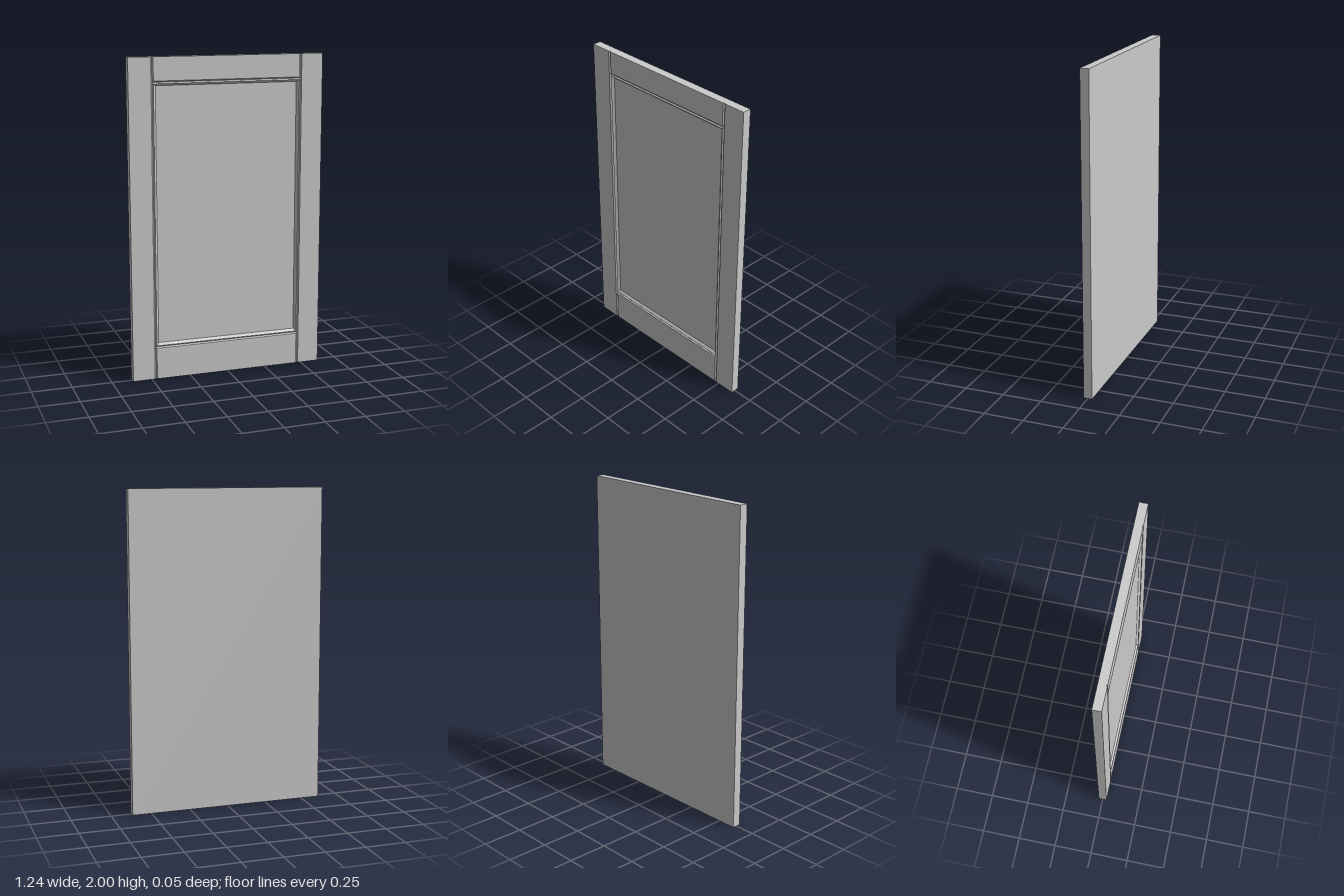
import * as THREE from 'three';

const W = 0.62, H = 2;                          // half width, height
const BACK = -0.027, PANEL = 0.013, FLOOR = 0.02, FRONT = 0.027;
const STILE = 0.481, INNER = 0.466, B = 0.0075; // stile edge, rail end, bevel width
const LOW = 0.2, HIGH = 1.857, GAP = 0.016;     // rail edges, groove width

const material = new THREE.MeshStandardMaterial({ color: 0xcccccc, flatShading: true });

function add(group, geometry, name) {
  const mesh = new THREE.Mesh(geometry, material);
  mesh.name = name;
  group.add(mesh);
}

function rect(Type, x0, x1, y0, y1) {
  return new Type([[x0, y0], [x1, y0], [x1, y1], [x0, y1]].map(p => new THREE.Vector2(...p)));
}

// Raised block whose base spreads outward by a bevel on the chosen sides
function bevelBlock(x0, x1, y0, y1, left, right, bottom, top) {
  const g = new THREE.BoxGeometry(1, 1, 1), p = g.attributes.position;
  for (let i = 0; i < p.count; i++) {
    const s = p.getZ(i) < 0 ? B : 0;
    p.setXYZ(i,
      p.getX(i) < 0 ? x0 - s * left : x1 + s * right,
      p.getY(i) < 0 ? y0 - s * bottom : y1 + s * top,
      s ? FLOOR : FRONT);
  }
  g.computeVertexNormals();
  return g;
}

// Mitred rectangular ring swept through [half width, bottom, top, z] loops
function rectRing(loops) {
  const pos = [], index = [];
  for (const [x, y0, y1, z] of loops) pos.push(-x, y0, z, x, y0, z, x, y1, z, -x, y1, z);
  for (let l = 0; l < loops.length - 1; l++) {
    for (let k = 0; k < 4; k++) {
      const a = l * 4 + k, b = l * 4 + (k + 1) % 4;
      index.push(a, b, b + 4, a, b + 4, a + 4);
    }
  }
  const g = new THREE.BufferGeometry();
  g.setAttribute('position', new THREE.Float32BufferAttribute(pos, 3));
  g.setIndex(index);
  const flat = g.toNonIndexed();
  flat.computeVertexNormals();
  return flat;
}

export function createModel() {
  const door = new THREE.Group();
  door.name = 'panelDoor';

  // Back slab; its front face is the recessed centre panel
  const slab = new THREE.BoxGeometry(2 * W, H, PANEL - BACK);
  slab.translate(0, H / 2, (PANEL + BACK) / 2);
  add(door, slab, 'centrePanel');

  // Frame layer up to the groove floor
  const frame = rect(THREE.Shape, -W, W, 0, H);
  frame.holes.push(rect(THREE.Path, -INNER, INNER, LOW + GAP, HIGH - GAP));
  const core = new THREE.ExtrudeGeometry(frame, { depth: FLOOR - PANEL, bevelEnabled: false });
  core.translate(0, 0, PANEL);
  add(door, core, 'frameCore');

  // Stiles and rails, bevelled along the grooves
  add(door, bevelBlock(-W, -STILE, 0, H, 0, 1, 0, 0), 'rightStile');
  add(door, bevelBlock(STILE, W, 0, H, 1, 0, 0, 0), 'leftStile');
  add(door, bevelBlock(-INNER, INNER, 0, LOW, 1, 1, 0, 1), 'bottomRail');
  add(door, bevelBlock(-INNER, INNER, HIGH, H, 1, 1, 1, 0), 'topRail');

  // Moulding around the panel, sloping down to it
  const y0 = LOW + GAP, y1 = HIGH - GAP;
  add(door, rectRing([
    [INNER + B, y0 - B, y1 + B, FLOOR],
    [INNER, y0, y1, FRONT],
    [INNER - 0.015, y0 + 0.016, y1 - 0.013, PANEL],
  ]), 'panelMoulding');

  return door;
}
